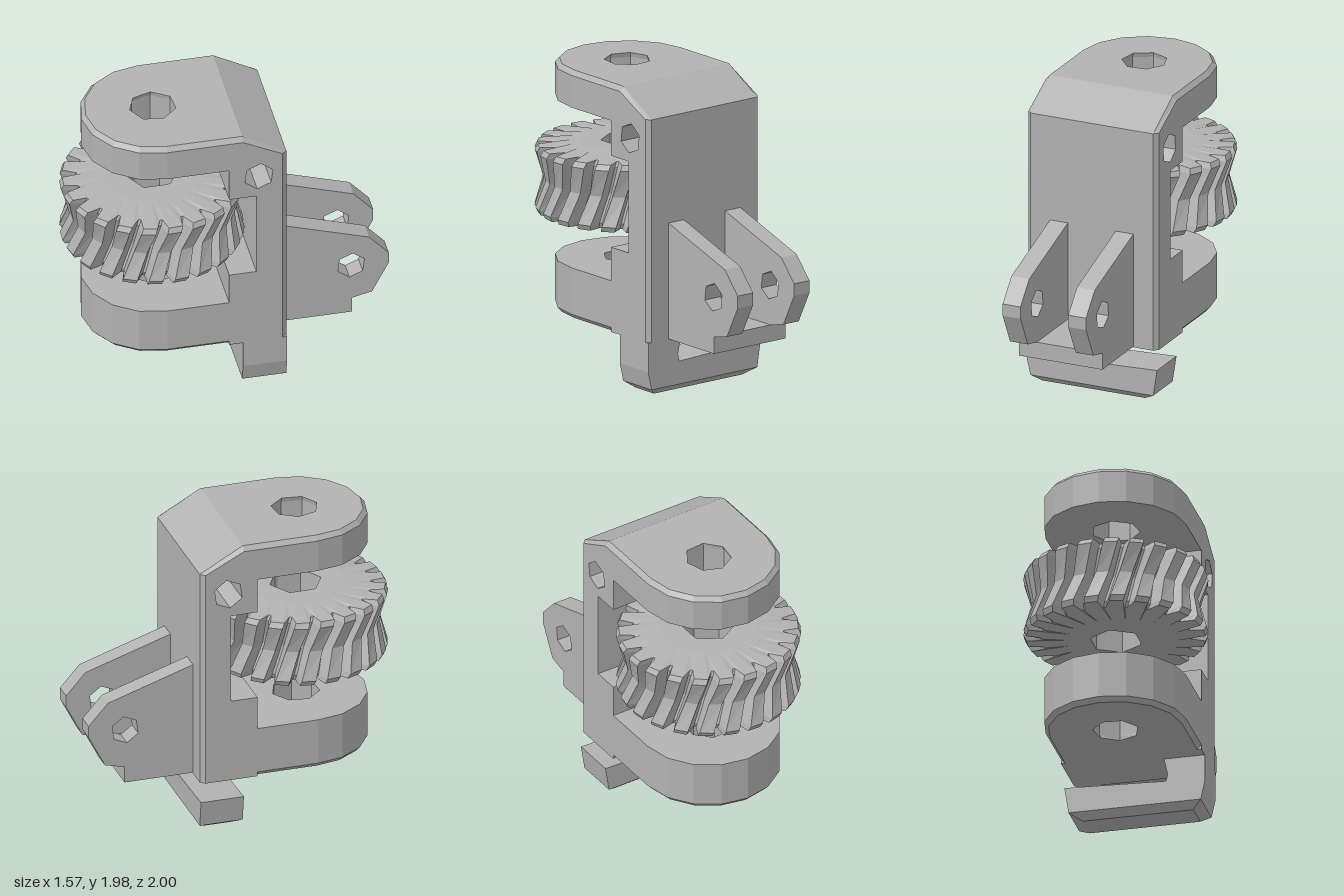
import * as THREE from 'three';

const HALF = 0.457; // half width of the bracket
const BACK = -0.775; // rear face of the back plate

const polygon = (pts) => new THREE.Shape(pts.map(([x, y]) => new THREE.Vector2(x, y)));

function hole(x, y, r, sides, phase = 0) {
  const pts = [];
  for (let i = 0; i < sides; i++) {
    const a = phase + (i / sides) * Math.PI * 2;
    pts.push(new THREE.Vector2(x + r * Math.cos(a), y + r * Math.sin(a)));
  }
  return new THREE.Path(pts);
}

const extrude = (shape, depth, steps = 1) =>
  new THREE.ExtrudeGeometry(shape, { depth, steps, bevelEnabled: false, curveSegments: 8 });

// Move every vertex by a rule, then rebuild the flat normals
function reshape(geo, rule) {
  const p = geo.attributes.position;
  const v = new THREE.Vector3();
  for (let i = 0; i < p.count; i++) {
    rule(v.fromBufferAttribute(p, i));
    p.setXYZ(i, v.x, v.y, v.z);
  }
  geo.computeVertexNormals();
  return geo;
}

// Extrude a side profile given as [z, y] across x
function sideExtrude(pts, holeSpec, x0, x1, steps = 1) {
  const shape = polygon(pts.map(([z, y]) => [-z, y]));
  shape.holes.push(hole(-holeSpec[0], holeSpec[1], holeSpec[2], 6, 0.4));
  return extrude(shape, x1 - x0, steps).rotateY(Math.PI / 2).translate(x0, 0, 0);
}

// Round-nosed arm with a pivot hole; the outer face has a small chamfer
function armGeometry(y0, y1, chamferTop) {
  const pts = [[HALF, 0.4], [-HALF, 0.4]];
  for (let i = 0; i <= 8; i++) {
    const a = Math.PI + (i / 8) * Math.PI;
    pts.push([HALF * Math.cos(a), HALF * Math.sin(a)]);
  }
  const shape = polygon(pts);
  shape.holes.push(hole(0, 0, 0.155, 7, chamferTop ? 0.3 : 0.75));
  const d = y1 - y0;
  const geo = extrude(shape, d, 2);
  reshape(geo, (v) => {
    if (Math.abs(v.z - d / 2) < 1e-4) v.z = chamferTop ? d - 0.03 : 0.03;
    else if ((v.z > d / 2) === chamferTop) {
      v.x *= 0.94;
      if (v.y < 0) v.y *= 0.94;
    }
  });
  return geo.rotateX(-Math.PI / 2).translate(0, y0, 0);
}

// Throated helical gear: a closed loop of rings from bore, over the teeth, back to bore
function gearGeometry(teeth = 22) {
  const n = teeth * 4;
  const frac = [0, 0.55, 0.7, 0.82];
  const rings = [
    ['bore', 0.975], ['hub', 0.975], ['tooth', 0.995, 0.97], ['tooth', 1.03, 1],
    ['tooth', 1.215, 0.91], ['tooth', 1.4, 1], ['tooth', 1.435, 0.97],
    ['hub', 1.455], ['bore', 1.455], ['bore', 0.975],
  ];
  const point = ([kind, y, scale], i) => {
    const k = i % n;
    let a = ((Math.floor(k / 4) + frac[k % 4]) / teeth) * Math.PI * 2;
    let r = 0.31;
    if (kind === 'bore') {
      const s = Math.PI / 3;
      r = (0.17 * Math.cos(s / 2)) / Math.cos((a % s) - s / 2);
    } else if (kind === 'tooth') {
      r = (k % 4 < 2 ? 0.585 : 0.49) * scale;
      a += (y - 1.215) * 0.55;
    }
    return [r * Math.sin(a), y, r * Math.cos(a)];
  };
  const pos = [];
  for (let j = 0; j < rings.length - 1; j++) {
    for (let i = 0; i < n; i++) {
      const a = point(rings[j], i), b = point(rings[j], i + 1);
      const c = point(rings[j + 1], i + 1), d = point(rings[j + 1], i);
      pos.push(...a, ...b, ...c, ...a, ...c, ...d);
    }
  }
  const geo = new THREE.BufferGeometry();
  geo.setAttribute('position', new THREE.Float32BufferAttribute(pos, 3));
  geo.computeVertexNormals();
  return geo;
}

export function createModel() {
  const grey = new THREE.MeshStandardMaterial({ color: 0xb2b2b2 });
  grey.name = 'plain grey';
  const body = new THREE.Group();
  body.name = 'gearBracket';
  const add = (name, geo) => {
    const mesh = new THREE.Mesh(geo, grey);
    mesh.name = name;
    body.add(mesh);
  };

  // Back plate with stepped gear recess, cross hole and chamfered rear edges
  const plate = sideExtrude([
    [BACK, 0.355], [BACK, 1.82], [-0.49, 1.98], [-0.4, 1.98], [-0.4, 1.51], [-0.575, 1.51],
    [-0.575, 0.91], [-0.4, 0.91], [-0.4, 0.355],
  ], [-0.593, 1.665, 0.098], -HALF, HALF, 3);
  reshape(plate, (v) => {
    if (Math.abs(v.x) < 0.3) v.x = Math.sign(v.x) * 0.43;
    else if (v.z < -0.7) v.z += 0.03;
    else if (v.y > 1.9) v.y -= 0.03;
  });
  add('backPlate', plate);

  // Arms above and below the gear
  add('upperArm', armGeometry(1.74, 1.98, true));
  add('lowerArm', armGeometry(0.355, 0.69, false));
  add('gear', gearGeometry());

  // Hook below the back plate, with a tapered foot
  const hookDepth = 0.285;
  add('hook', extrude(polygon([
    [HALF, 0.36], [0.19, 0.36], [0.215, 0.25], [0.205, 0.2], [-HALF, 0.225],
    [-0.43, 0.05], [0.43, 0.05], [HALF, 0.17],
  ]), hookDepth).translate(0, 0, BACK));
  const foot = extrude(polygon([[0.43, 0.05], [-0.43, 0.05], [-0.35, 0.005], [0.37, 0.005]]), hookDepth);
  reshape(foot, (v) => {
    if (v.y < 0.02) v.z += v.z > 0.1 ? -0.05 : 0.05;
  });
  add('hookFoot', foot.translate(0, 0, BACK));

  // Rear clevis: two mirrored lugs joined by a floor web
  const lugProfile = [
    [BACK, 1.12], [-1.34, 0.935], [-1.468, 0.79], [-1.468, 0.71], [-1.36, 0.5],
    [-1.23, 0.47], [-1.23, 0.36], [BACK, 0.36],
  ];
  add('leftLug', sideExtrude(lugProfile, [-1.225, 0.73, 0.093], 0.167, 0.292));
  add('rightLug', sideExtrude(lugProfile, [-1.225, 0.73, 0.093], -0.292, -0.167));
  add('lugWeb', new THREE.BoxGeometry(0.334, 0.11, 0.455).translate(0, 0.415, -1.0025));

  // The whole bracket is turned about the upright axis
  body.rotation.y = -Math.PI / 6;
  body.position.set(-0.205, 0, 0.415);
  const model = new THREE.Group();
  model.name = 'model';
  model.add(body);
  return model;
}
